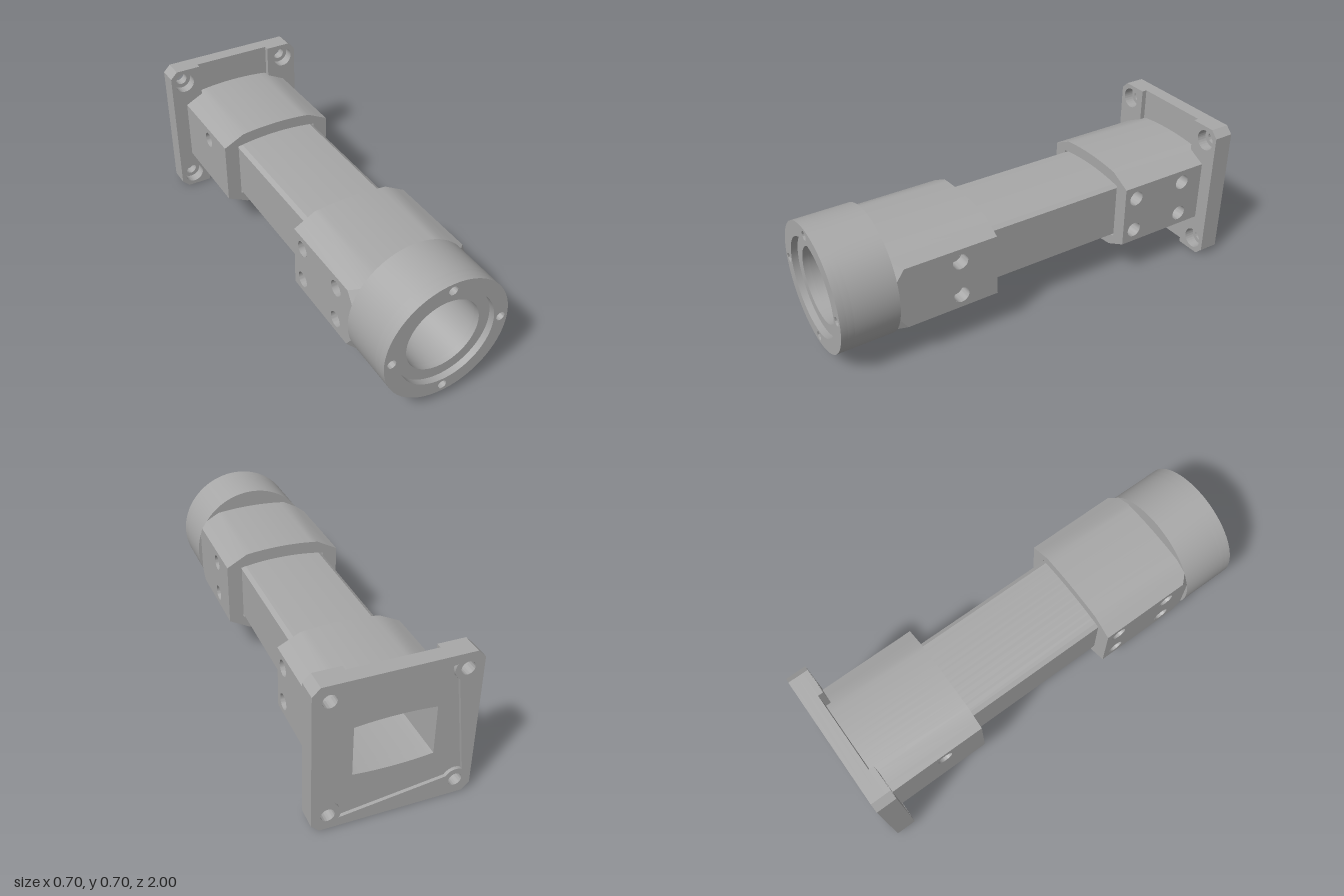
import * as THREE from 'three';
import { toCreasedNormals } from 'three/addons/utils/BufferGeometryUtils.js';

const metal = new THREE.MeshStandardMaterial({ color: 0xa8a8a8, side: THREE.DoubleSide });
metal.name = 'grey metal';

const V = (x, y) => new THREE.Vector2(x, y);
const circle = (x, y, r) => new THREE.Path().absarc(x, y, r, 0, Math.PI * 2, true);

function add(parent, name, geometry) {
  const mesh = new THREE.Mesh(toCreasedNormals(geometry, 0.5), metal);
  mesh.name = name;
  parent.add(mesh);
  return mesh;
}

// extrude a shape with holes between two z positions
function slab(parent, name, shape, holes, z0, z1) {
  shape.holes = holes;
  const g = new THREE.ExtrudeGeometry(shape, { depth: z1 - z0, bevelEnabled: false, curveSegments: 40 });
  return add(parent, name, g.translate(0, 0, z0));
}

// upper outline, from +x to -x: straight side end, bevel, then a shallow crown
function crown(w, sideY, xs, ys, top) {
  const pts = [V(w, sideY)];
  for (let i = 0; i <= 12; i++) {
    const t = 1 - i / 6;
    pts.push(V(xs * t, top - (top - ys) * t * t));
  }
  pts.push(V(-w, sideY));
  return pts;
}
const closed = (pts) => [...pts, ...pts.map((p) => V(-p.x, -p.y))];

// wall swept along z below a list of points; endZ gives each point's front end
function strip(pts, z0, endZ) {
  const pos = [];
  for (let i = 0; i < pts.length - 1; i++) {
    const a = pts[i], b = pts[i + 1];
    const A = [a.x, a.y, z0], B = [b.x, b.y, z0];
    const C = [b.x, b.y, endZ(b)], D = [a.x, a.y, endZ(a)];
    pos.push(...A, ...B, ...C, ...A, ...C, ...D);
  }
  const g = new THREE.BufferGeometry();
  g.setAttribute('position', new THREE.Float32BufferAttribute(pos, 3));
  g.computeVertexNormals();
  return g;
}

const W = 0.28, SIDE = 0.15;
const bore = closed(crown(0.175, 0.116, 0.17, 0.117, 0.126));
const tubeOuter = closed(crown(0.207, 0.128, 0.187, 0.142, 0.15));
const socket = closed(crown(0.209, 0.139, 0.2, 0.141, 0.158));

// clamp sleeve with tapped side holes; notch trims its front corners
function sleeve(name, z0, z1, ys, top, notch, holesBySide) {
  const group = new THREE.Group();
  group.name = name;
  const cornerZ = z1 - notch;
  const outline = crown(W, SIDE, 0.18, ys, top);
  const cut = V(0.244, SIDE + (ys - SIDE) * 0.36);
  const pts = [...outline];
  pts.splice(1, 0, cut);
  pts.splice(pts.length - 1, 0, V(-cut.x, cut.y));
  const endZ = (p) => (Math.abs(p.x) > W - 0.001 ? cornerZ : z1);
  for (const s of [1, -1]) add(group, 'sleeveCrown', strip(pts.map((p) => V(p.x, p.y * s)), z0, endZ));
  add(group, 'sleeveSocket', strip([...socket, socket[0]], z0, () => z1));

  // end faces
  const trimmed = notch ? [V(W, 0.099), ...pts.slice(1, -1), V(-W, 0.099)] : outline;
  for (const [loop, z] of [[outline, z0], [trimmed, z1]]) {
    const face = new THREE.Shape(closed(loop));
    face.holes.push(new THREE.Path(socket));
    add(group, 'sleeveEnd', new THREE.ShapeGeometry(face).translate(0, 0, z));
  }

  for (const s of [1, -1]) {
    // side panel drawn in (z, y)
    const y1 = notch ? 0.099 : SIDE;
    const panel = new THREE.Shape([V(z0, -SIDE), V(cornerZ, -SIDE), V(z1, -y1), V(z1, y1), V(cornerZ, SIDE), V(z0, SIDE)]);
    for (const [z, y] of holesBySide[s]) {
      panel.holes.push(circle(z, y, 0.037));
      const wall = new THREE.CylinderGeometry(0.037, 0.037, 0.06, 32, 1, true).rotateZ(Math.PI / 2);
      add(group, 'sideHole', wall.translate(s * (W - 0.03), y, z));
      const floor = new THREE.CircleGeometry(0.037, 32).rotateY(s * Math.PI / 2);
      add(group, 'sideHoleFloor', floor.translate(s * (W - 0.06), y, z));
    }
    add(group, 'sleeveSide', new THREE.ShapeGeometry(panel, 32).rotateY(-Math.PI / 2).translate(s * W, 0, 0));
    // trimmed corners
    if (notch) for (const t of [1, -1]) {
      const g = new THREE.BufferGeometry();
      g.setAttribute('position', new THREE.Float32BufferAttribute([
        s * W, t * SIDE, cornerZ, s * cut.x, t * cut.y, z1, s * W, t * 0.099, z1], 3));
      g.computeVertexNormals();
      add(group, 'trimmedCorner', g);
    }
  }
  return group;
}

// round collar with stepped bore and four blind screw holes
function collar() {
  const group = new THREE.Group();
  group.name = 'frontCollar';
  const disc = () => new THREE.Shape().absarc(0, 0, 0.297, 0, Math.PI * 2, false);
  const screws = () => [0, 1, 2, 3].map((i) =>
    circle(0.262 * Math.cos(i * Math.PI / 2), 0.262 * Math.sin(i * Math.PI / 2), 0.021));
  slab(group, 'collarBody', disc(), [circle(0, 0, 0.175)], 0.735, 0.94);
  slab(group, 'collarStep', disc(), [circle(0, 0, 0.175), ...screws()], 0.94, 0.97);
  slab(group, 'collarRim', disc(), [circle(0, 0, 0.228), ...screws()], 0.97, 1);
  return group;
}

// square flange with bolt holes, front channel and shallow rear pocket
function flange() {
  const group = new THREE.Group();
  group.name = 'rearFlange';
  const H = 0.35, c = 0.316, B = 0.28;
  const plate = () => new THREE.Shape([V(H, -c), V(H, c), V(c, H), V(-c, H), V(-H, c), V(-H, -c), V(-c, -H), V(c, -H)]);
  const bolts = (r) => [[1, 1], [-1, 1], [-1, -1], [1, -1]].map(([x, y]) => circle(B * x, B * y, r));

  // pocket outline curves around the bolt bosses
  const pocket = [];
  for (let q = 0; q < 4; q++) {
    for (let i = 0; i <= 8; i++) {
      const a = -0.576 - (i / 8) * (Math.PI * 1.5 - 1.152 - Math.PI / 2 + 0.0) - 0.0;
      const x = B + 0.055 * Math.cos(a), y = B + 0.055 * Math.sin(a);
      const p = V(Math.min(x, 0.31), Math.min(y, 0.31));
      pocket.push(p.rotateAround(V(0, 0), q * Math.PI / 2));
    }
  }
  slab(group, 'flangeRearRim', plate(), [new THREE.Path(pocket), ...bolts(0.03)], -1, -0.985);
  slab(group, 'flangePlate', plate(), [new THREE.Path(bore), ...bolts(0.03)], -0.985, -0.955);
  slab(group, 'flangeCounterbore', plate(), [new THREE.Path(bore), ...bolts(0.05)], -0.955, -0.93);
  for (const s of [1, -1]) {
    const pad = new THREE.Shape([V(s * 0.193, -H), V(s * c, -H), V(s * H, -c), V(s * H, c), V(s * c, H), V(s * 0.193, H)]);
    slab(group, 'flangeSidePad', pad, [circle(s * B, B, 0.05), circle(s * B, -B, 0.05)], -0.93, -0.905);
  }
  return group;
}

export function createModel() {
  const model = new THREE.Group();
  model.name = 'flangedTube';
  const body = new THREE.Group();
  body.name = 'body';
  body.position.y = 0.35;
  model.add(body);

  slab(body, 'innerTube', new THREE.Shape(tubeOuter), [new THREE.Path(bore)], -0.93, 0.68);
  const pair = (z) => [[z, 0.087], [z, -0.087]];
  body.add(sleeve('frontSleeve', 0.26, 0.735, 0.205, 0.217, 0.035,
    { 1: pair(0.44), '-1': [...pair(0.33), ...pair(0.61)] }));
  body.add(sleeve('rearSleeve', -0.93, -0.44, 0.2, 0.212, 0,
    { 1: [...pair(-0.505), ...pair(-0.785)], '-1': [[-0.64, 0.087]] }));
  body.add(collar(), flange());
  return model;
}
